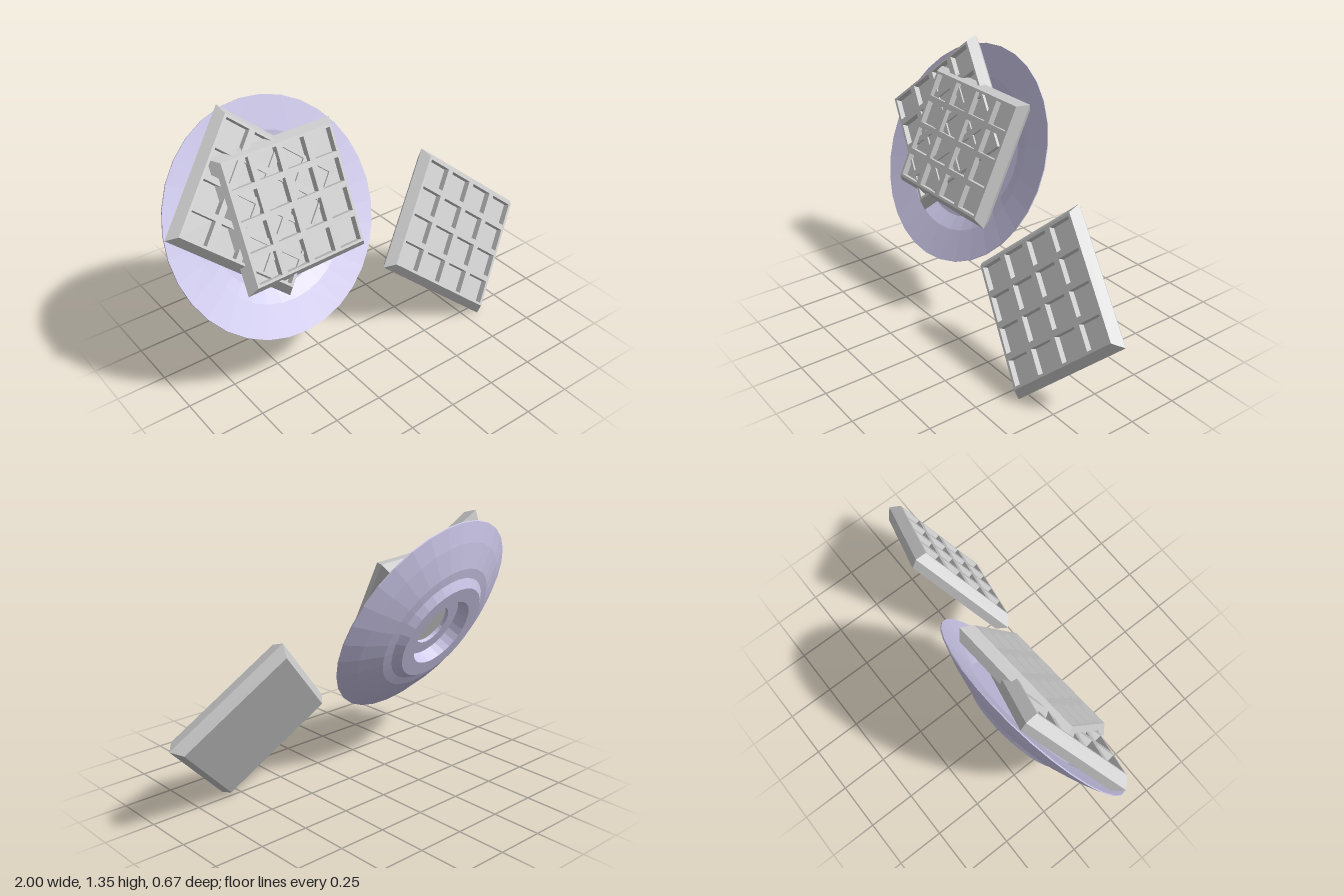
import * as THREE from 'three';

const WIDE = 0.345, DEEP = 0.324; // half sizes of a waffle at its widest level
const INSET = 0.033, HALF_THICK = 0.05, POCKET_DEPTH = 0.035;

const grey = new THREE.MeshStandardMaterial({ color: 0xcccccc, flatShading: true });
const lavender = new THREE.MeshStandardMaterial({ color: 0xcdc8ea, flatShading: true });

function part(name, geometry, material) {
  const mesh = new THREE.Mesh(geometry, material);
  mesh.name = name;
  return mesh;
}

function rectangle(path, x, y, w, h) {
  path.moveTo(x - w / 2, y - h / 2);
  path.lineTo(x + w / 2, y - h / 2);
  path.lineTo(x + w / 2, y + h / 2);
  path.lineTo(x - w / 2, y + h / 2);
  path.closePath();
  return path;
}

// Square waffle: body with a pointed edge, and a 4 x 4 grid of pockets on top
function makeWaffle(name, x, y, z, degrees) {
  const waffle = new THREE.Group();
  waffle.name = name;

  const k = 1 - INSET / WIDE;
  const profile = [[0, -HALF_THICK], [k, -HALF_THICK], [1, 0], [k, HALF_THICK]]
    .map(([r, h]) => new THREE.Vector2(r * Math.SQRT2, h));
  const body = new THREE.LatheGeometry(profile, 4).rotateY(Math.PI / 4).scale(WIDE, 1, DEEP);
  waffle.add(part('waffleBody', body, grey));

  const w = 2 * WIDE * k, d = 2 * DEEP * k;
  const pitchX = w * 0.252, pitchZ = d * 0.252;
  const shape = rectangle(new THREE.Shape(), 0, 0, w, d);
  for (let i = 0; i < 4; i++) {
    for (let j = 0; j < 4; j++) {
      shape.holes.push(rectangle(new THREE.Path(),
        (i - 1.5) * pitchX, (j - 1.5) * pitchZ, pitchX * 0.8, pitchZ * 0.8));
    }
  }
  const ribs = new THREE.ExtrudeGeometry(shape, { depth: POCKET_DEPTH, bevelEnabled: false })
    .rotateX(-Math.PI / 2).translate(0, HALF_THICK - POCKET_DEPTH, 0);
  waffle.add(part('waffleRibs', ribs, grey));

  const floor = new THREE.PlaneGeometry(w, d)
    .rotateX(-Math.PI / 2).translate(0, HALF_THICK - POCKET_DEPTH, 0);
  waffle.add(part('pocketFloor', floor, grey));

  waffle.position.set(x, y, z);
  waffle.rotation.y = THREE.MathUtils.degToRad(degrees);
  return waffle;
}

// Wide-rimmed plate with a foot ring and an open centre
function makePlate() {
  const profile = [
    [0.11, -0.055], [0.11, -0.075], [0.18, -0.075], [0.19, -0.14], [0.27, -0.14],
    [0.31, -0.108], [0.36, -0.1], [0.48, -0.052], [0.573, -0.006], [0.573, 0],
    [0.41, -0.025], [0.335, -0.055], [0.11, -0.055],
  ].map(([r, h]) => new THREE.Vector2(r, h));
  return part('plate', new THREE.LatheGeometry(profile, 32), lavender);
}

export function createModel() {
  const serving = new THREE.Group();
  serving.name = 'serving';
  serving.add(
    makePlate(),
    makeWaffle('lowerWaffle', -0.111, 0.05, -0.11, -41.6),
    makeWaffle('upperWaffle', 0.054, 0.075, -0.045, 0),
    makeWaffle('looseWaffle', 0.944, 0.08, 0.418, -41.6),
  );

  // The whole serving leans back, facing the front
  const up = new THREE.Vector3(0.07, 0.43, 0.9).normalize();
  const side = new THREE.Vector3(1, 0, 0).addScaledVector(up, -up.x).normalize();
  const down = new THREE.Vector3().crossVectors(side, up);
  serving.quaternion.setFromRotationMatrix(new THREE.Matrix4().makeBasis(side, up, down));
  serving.position.set(-0.42, 0.8, -0.085);

  const model = new THREE.Group();
  model.name = 'wafflesAndPlate';
  model.add(serving);
  return model;
}
